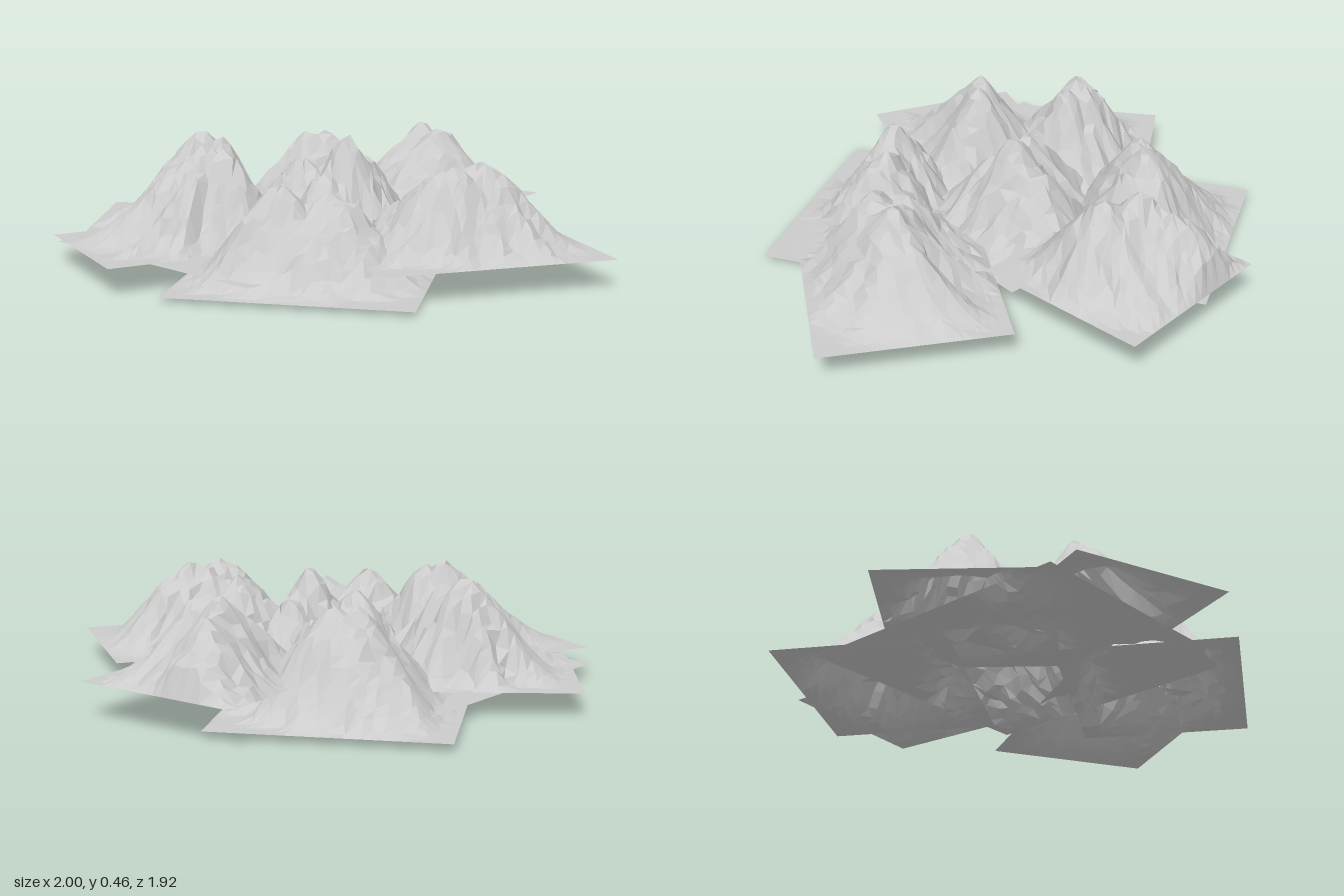
import * as THREE from 'three';

// Deterministic value noise in two dimensions
const hash = (i, j) => {
  const s = Math.sin(i * 127.1 + j * 311.7) * 43758.5453;
  return s - Math.floor(s);
};
const ease = t => t * t * (3 - 2 * t);
function noise(x, y) {
  const i = Math.floor(x), j = Math.floor(y), a = ease(x - i), b = ease(y - j);
  const top = hash(i, j) * (1 - a) + hash(i + 1, j) * a;
  const low = hash(i, j + 1) * (1 - a) + hash(i + 1, j + 1) * a;
  return (top * (1 - b) + low * b) * 2 - 1;
}

// Each terrain sheet: centre x/z, base height, turn, width, depth and
// peaks as [x, z, summit height, optional radius]
const sheets = [
  { name: 'leftFrontMountain', x: -0.52, z: 0.16, y: 0.105, turn: -0.355, w: 0.8, d: 0.61,
    peaks: [[-0.42, 0.12, 0.47], [-0.35, 0.14, 0.45, 0.26], [-0.55, 0.2, 0.29, 0.22]] },
  { name: 'leftBackMountain', x: -0.44, z: -0.26, y: 0.095, turn: 0.196, w: 0.8, d: 0.62,
    peaks: [[-0.42, -0.27, 0.47], [-0.34, -0.22, 0.44, 0.25]] },
  { name: 'backMountain', x: 0.078, z: -0.508, y: 0.03, turn: 0.334, w: 0.86, d: 0.66,
    peaks: [[0.02, -0.47, 0.42], [0.11, -0.49, 0.43], [0.17, -0.42, 0.36, 0.26]] },
  { name: 'rightBackMountain', x: 0.515, z: -0.368, y: 0.145, turn: 0.764, w: 0.68, d: 0.68,
    peaks: [[0.55, -0.28, 0.46], [0.5, -0.43, 0.45], [0.55, -0.55, 0.4, 0.28]] },
  { name: 'rightFrontMountain', x: 0.49, z: 0.43, y: 0.11, turn: -0.18, w: 0.89, d: 0.68,
    peaks: [[0.44, 0.51, 0.43], [0.56, 0.43, 0.44], [0.36, 0.4, 0.38, 0.28]] },
  { name: 'frontMountain', x: -0.095, z: 0.498, y: 0.02, turn: 0.334, w: 0.884, d: 0.66,
    peaks: [[-0.2, 0.47, 0.375], [-0.01, 0.49, 0.35], [0.07, 0.5, 0.31, 0.3]] },
  { name: 'centralMountain', x: -0.224, z: -0.026, y: 0.06, turn: -0.695, w: 1.12, d: 1.05,
    peaks: [[0.12, 0, 0.49, 0.3], [-0.05, -0.05, 0.39, 0.36], [0.21, -0.1, 0.39, 0.28],
      [-0.28, -0.08, 0.28, 0.28], [0.02, 0.1, 0.33, 0.28]],
    dips: [[-0.76, -0.15, 0.0, 0.18], [-0.5, -0.02, 0.03, 0.12]] },
];

function buildSheet(sheet, index) {
  const { x, z, y, turn, w, d, peaks, dips = [] } = sheet;
  const cos = Math.cos(turn), sin = Math.sin(turn);
  const toLocal = ([px, pz, h, radius]) => ({
    u: (px - x) * cos + (pz - z) * sin,
    v: -(px - x) * sin + (pz - z) * cos, h: h - y, radius,
  });
  const summits = peaks.map(toLocal), hollows = dips.map(toLocal);

  // Concave slopes run from each summit to the sheet edges, cut by radial gullies
  const heightAt = (u, v) => {
    let height = 0;
    for (const p of summits) {
      const du = u - p.u, dv = v - p.v;
      const ru = p.radius ?? (du > 0 ? w / 2 - p.u : w / 2 + p.u);
      const rv = p.radius ?? (dv > 0 ? d / 2 - p.v : d / 2 + p.v);
      const r = Math.hypot(du / ru, dv / rv), a = Math.atan2(dv, du);
      const gully = noise(Math.cos(a) * 4.5 + index * 9, Math.sin(a) * 4.5 + r * 1.2);
      const t = Math.min(1, r * (1 + 0.2 * gully * Math.min(1, r * 4)));
      const slope = 0.45 * (0.5 + 0.5 * Math.cos(Math.PI * t)) + 0.55 * (1 - t) ** 1.6;
      height = Math.max(height, p.h * slope);
    }
    // Rough crags on the high ground
    const crag = noise(u * 13 + index * 17, v * 13) * 0.6 + noise(u * 27, v * 27 + index * 5) * 0.4;
    height *= 1 + 0.13 * crag * (height < 0.28 ? 1 : 0.3);
    for (const p of hollows) {
      const t = Math.min(1, Math.hypot(u - p.u, v - p.v) / p.radius);
      height += p.h * (0.5 + 0.5 * Math.cos(Math.PI * t));
    }
    // Ease down to a flat border
    const edge = Math.min(w / 2 - Math.abs(u), d / 2 - Math.abs(v));
    return height * ease(Math.min(1, Math.max(0, edge) / 0.03));
  };

  const nu = Math.round(w / 0.034), nv = Math.round(d / 0.034);
  const geometry = new THREE.PlaneGeometry(w, d, nu, nv).rotateX(-Math.PI / 2);
  const pos = geometry.attributes.position;
  for (let i = 0; i < pos.count; i++) {
    let u = pos.getX(i), v = pos.getZ(i);
    // Shift inner points so that the facets are irregular
    if (Math.abs(u) < w / 2 - 0.001 && Math.abs(v) < d / 2 - 0.001) {
      u += (hash(i, index) - 0.5) * 0.024;
      v += (hash(index + 50, i) - 0.5) * 0.024;
    }
    pos.setXYZ(i, u, heightAt(u, v), v);
  }
  geometry.computeVertexNormals();
  const material = new THREE.MeshStandardMaterial({
    color: 0xcccccc, flatShading: true, side: THREE.DoubleSide,
  });
  const mesh = new THREE.Mesh(geometry, material);
  mesh.name = sheet.name;
  mesh.position.set(x, y, z);
  mesh.rotation.y = -turn;
  return mesh;
}

export function createModel() {
  const group = new THREE.Group();
  group.name = 'mountainRange';
  sheets.forEach((sheet, i) => group.add(buildSheet(sheet, i)));
  return group;
}
